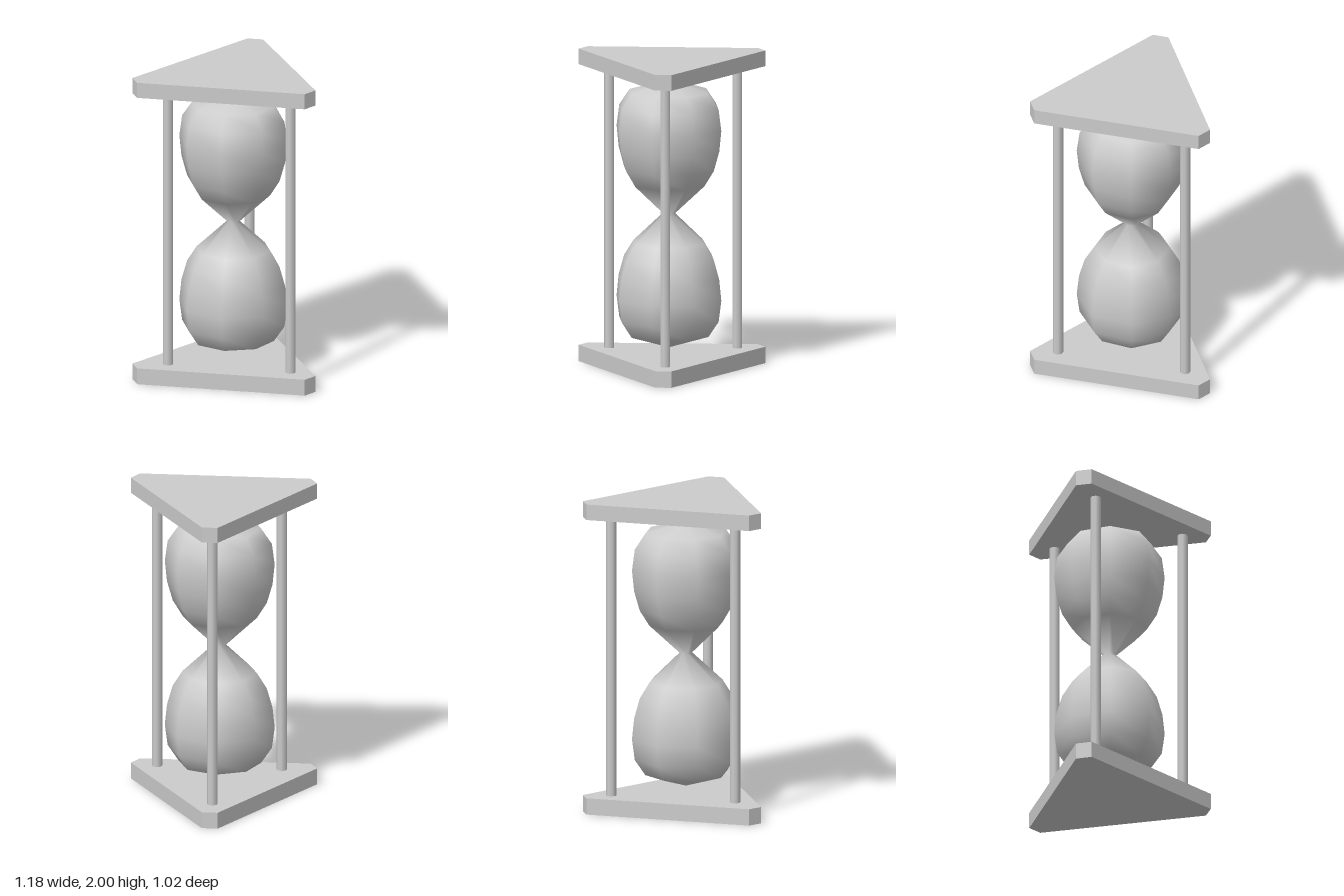
import * as THREE from 'three';

const material = new THREE.MeshStandardMaterial({ color: 0xcccccc });

function addMesh(group, name, geometry, x, y, z) {
  const mesh = new THREE.Mesh(geometry, material);
  mesh.name = name;
  mesh.position.set(x, y, z);
  group.add(mesh);
}

// Triangular plate with clipped corners, hanging down from its top face
function plateGeometry(thickness) {
  const outline = [
    [-0.05, -0.51], [0.05, -0.51], [0.59, 0.42],
    [0.54, 0.51], [-0.54, 0.51], [-0.59, 0.42],
  ].map(([x, z]) => new THREE.Vector2(x, z));
  return new THREE.ExtrudeGeometry(new THREE.Shape(outline), { depth: thickness, bevelEnabled: false })
    .rotateX(Math.PI / 2);
}

// Lower bulb profile, mirrored about the neck to make the upper bulb
function glassGeometry() {
  const neckY = 1.004;
  const lower = [
    [0, 0.145], [0.262, 0.225], [0.33, 0.325], [0.348, 0.46],
    [0.334, 0.595], [0.298, 0.72], [0.236, 0.82], [0.04, neckY],
  ];
  const upper = lower.slice(0, -1).reverse().map(([r, y]) => [r, 2 * neckY - y]);
  const profile = [...lower, ...upper].map(([r, y]) => new THREE.Vector2(r, y));
  return new THREE.LatheGeometry(profile, 8);
}

export function createModel() {
  const group = new THREE.Group();
  group.name = 'hourglass';

  // Base and top plates
  addMesh(group, 'basePlate', plateGeometry(0.105), 0, 0.105, 0);
  addMesh(group, 'topPlate', plateGeometry(0.1), 0, 2, 0);

  // Three posts between the plates
  const post = new THREE.CylinderGeometry(0.033, 0.033, 1.84, 8);
  addMesh(group, 'leftPost', post, 0.42, 1, 0.38);
  addMesh(group, 'rightPost', post, -0.37, 1, 0.38);
  addMesh(group, 'backPost', post, 0, 1, -0.337);

  // Glass bulbs joined at the neck
  addMesh(group, 'glassBulbs', glassGeometry(), 0, 0, 0.144);

  return group;
}
